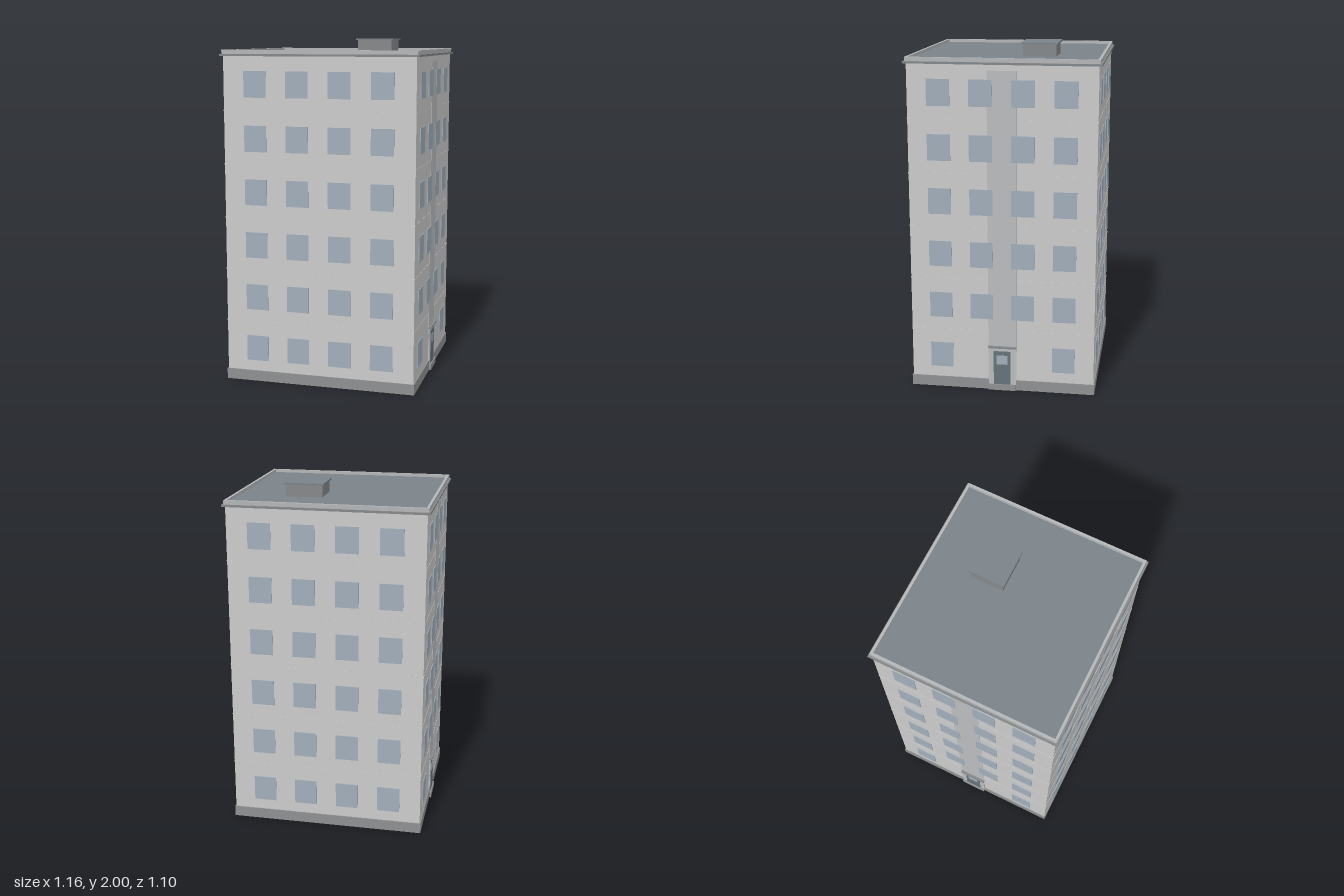
import * as THREE from 'three';

const mat = (color) => new THREE.MeshStandardMaterial({ color });
const M = {
  wall: mat(0xcccccc), plinth: mat(0x8e9092), stair: mat(0xbabcbe), glass: mat(0xa1aebb),
  roof: mat(0x7b8389), trim: mat(0x85888a), parapet: mat(0xb4b6b8), door: mat(0x65737a),
};
const HX = 0.56, HZ = 0.533;   // half size of the wall block
const STOREY = 0.309;

// Box given by its extents along each axis
function box(parent, name, material, [x0, x1], [y0, y1], [z0, z1]) {
  const m = new THREE.Mesh(new THREE.BoxGeometry(x1 - x0, y1 - y0, z1 - z0), material);
  m.position.set((x0 + x1) / 2, (y0 + y1) / 2, (z0 + z1) / 2);
  m.name = name;
  parent.add(m);
}

// Rectangular frame lying flat, between an outer and an inner offset from the walls
function ring(parent, name, material, outer, inner, y0, y1) {
  const corners = (d) => [[-1, -1], [1, -1], [1, 1], [-1, 1]]
    .map(([a, b]) => new THREE.Vector2(a * (HX + d), b * (HZ + d)));
  const shape = new THREE.Shape(corners(outer));
  shape.holes.push(new THREE.Path(corners(inner).reverse()));
  const g = new THREE.ExtrudeGeometry(shape, { depth: y1 - y0, bevelEnabled: false });
  g.rotateX(-Math.PI / 2);
  const m = new THREE.Mesh(g, material);
  m.position.y = y0;
  m.name = name;
  parent.add(m);
}

// Window grid on one facade; the group is turned so that local +z points outwards
function windows(parent, name, columns, distance, angle, skip) {
  const g = new THREE.Group();
  g.name = name;
  g.rotation.y = angle;
  for (let floor = 0; floor < 6; floor++) {
    for (const x of columns) {
      if (skip(floor, x)) continue;
      const y = 0.2 + floor * STOREY;
      box(g, 'window', M.glass, [x - 0.066, x + 0.066], [y - 0.075, y + 0.075], [distance - 0.01, distance + 0.004]);
    }
  }
  parent.add(g);
}

// Stairwell strip with its entrance, built facing +x
function entrance(name) {
  const g = new THREE.Group();
  g.name = name;
  box(g, 'stairwellStrip', M.stair, [HX - 0.01, HX + 0.002], [0.03, 1.87], [-0.082, 0.082]);
  box(g, 'doorSurround', M.stair, [HX - 0.01, HX + 0.007], [0.03, 0.26], [-0.08, 0.08]);
  box(g, 'doorStep', M.plinth, [HX - 0.01, HX + 0.017], [0, 0.035], [-0.08, 0.08]);
  box(g, 'door', M.door, [HX - 0.01, HX + 0.01], [0.035, 0.24], [-0.05, 0.05]);
  box(g, 'doorGlass', M.glass, [HX, HX + 0.012], [0.16, 0.215], [-0.032, 0.032]);
  box(g, 'doorCanopy', M.trim, [HX - 0.01, HX + 0.018], [0.26, 0.27], [-0.083, 0.083]);
  return g;
}

export function createModel() {
  const model = new THREE.Group();
  model.name = 'apartmentBlock';

  // Walls, hollow base and floor bands
  box(model, 'walls', M.wall, [-HX, HX], [0.06, 1.91], [-HZ, HZ]);
  ring(model, 'baseWall', M.wall, 0, -0.004, 0, 0.06);
  ring(model, 'plinth', M.plinth, 0.006, 0, 0, 0.062);
  for (let i = 0; i < 5; i++) {
    const y = 0.36 + i * STOREY;
    ring(model, 'floorBand', M.wall, 0.0015, -0.005, y - 0.004, y + 0.004);
  }

  // Facades
  const front = [-0.372, -0.124, 0.124, 0.372], side = [-0.357, -0.119, 0.119, 0.357];
  const atDoor = (floor, x) => floor === 0 && Math.abs(x) < 0.2;
  windows(model, 'frontWindows', front, HZ, 0, () => false);
  windows(model, 'backWindows', front, HZ, Math.PI, () => false);
  windows(model, 'leftWindows', side, HX, Math.PI / 2, atDoor);
  windows(model, 'rightWindows', side, HX, -Math.PI / 2, atDoor);

  // Entrances on both sides
  const left = entrance('leftEntrance'), right = entrance('rightEntrance');
  right.rotation.y = Math.PI;
  model.add(left, right);

  // Cornice, parapet and flat roof
  ring(model, 'cornice', M.trim, 0.017, -0.02, 1.903, 1.915);
  ring(model, 'parapet', M.parapet, 0.007, -0.008, 1.915, 1.938);
  box(model, 'roof', M.roof, [-HX + 0.005, HX - 0.005], [1.9, 1.92], [-HZ + 0.005, HZ - 0.005]);

  // Roof hatch
  box(model, 'roofHatch', M.trim, [0.07, 0.28], [1.915, 1.99], [-0.27, -0.08]);
  box(model, 'roofHatchCap', M.roof, [0.06, 0.29], [1.99, 2], [-0.28, -0.07]);
  return model;
}
